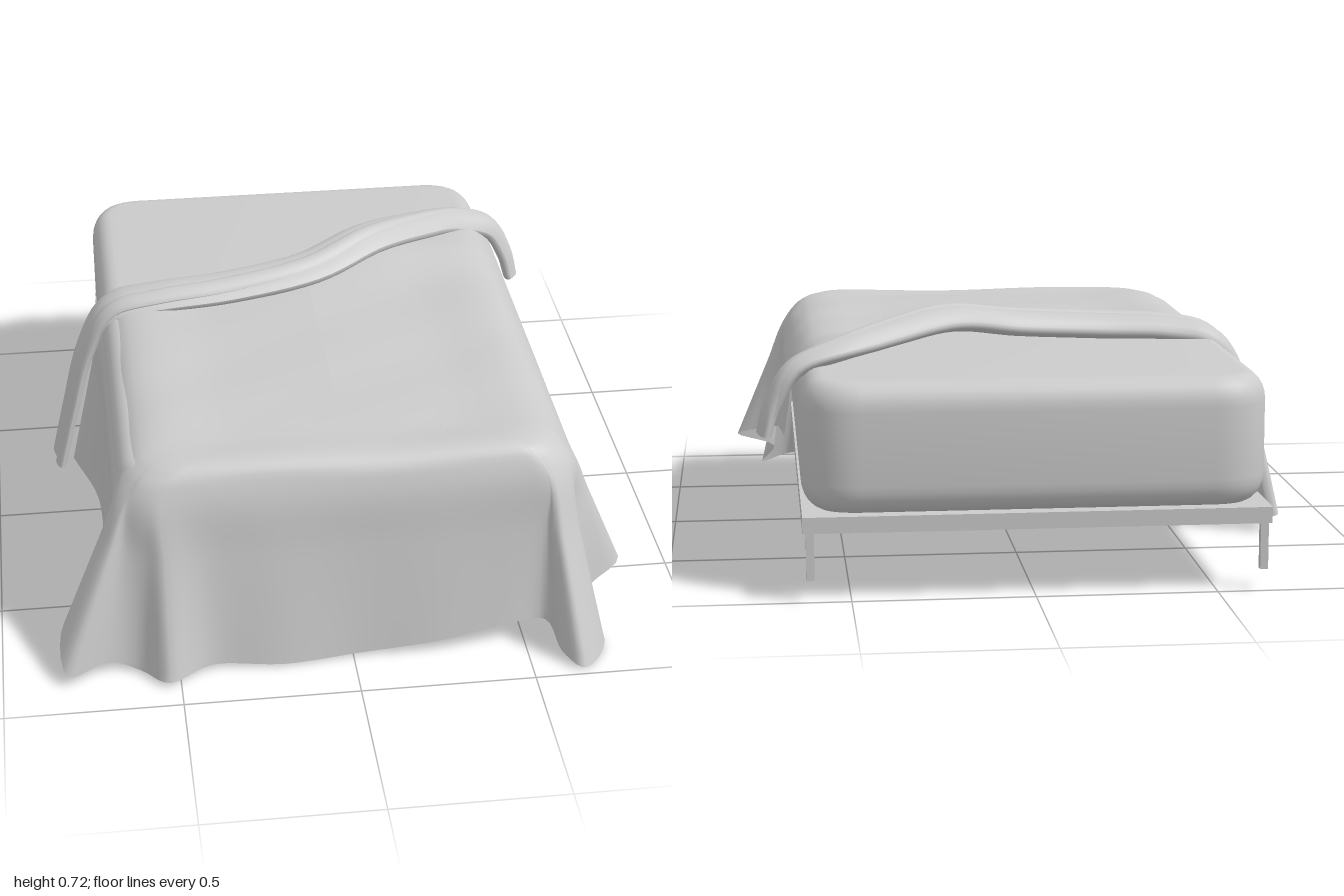
import * as THREE from 'three';
import { toCreasedNormals } from 'three/addons/utils/BufferGeometryUtils.js';

const V = (x, y, z) => new THREE.Vector3(x, y, z);
const { clamp, lerp, smoothstep } = THREE.MathUtils;
const spline = points => new THREE.CatmullRomCurve3(points.map(p => V(...p)), false, 'catmullrom', 0.5);
const grey = new THREE.MeshStandardMaterial({ color: 0xcccccc });
const cloth = new THREE.MeshStandardMaterial({ color: 0xcccccc, side: THREE.DoubleSide });

function addMesh(parent, name, geometry, material = grey) {
  const mesh = new THREE.Mesh(geometry, material);
  mesh.name = name;
  parent.add(mesh);
  return mesh;
}

// Joins equal-length rows of points into one smooth sheet
function loft(rows) {
  const n = rows[0].length;
  const index = [];
  for (let i = 0; i < rows.length - 1; i++) {
    for (let j = 0; j < n - 1; j++) {
      const a = i * n + j, b = a + n;
      index.push(a, a + 1, b, b, a + 1, b + 1);
    }
  }
  const geometry = new THREE.BufferGeometry().setFromPoints(rows.flat());
  geometry.setIndex(index);
  geometry.computeVertexNormals();
  return geometry;
}

// Rounded block with softened top and bottom rims
function mattressGeometry(w, h, d) {
  const bevel = 0.06, drop = 0.08, r = 0.1;
  const x = w / 2 - bevel, z = d / 2 - bevel;
  const s = new THREE.Shape();
  s.moveTo(-x + r, -z);
  s.lineTo(x - r, -z);
  s.quadraticCurveTo(x, -z, x, -z + r);
  s.lineTo(x, z - r);
  s.quadraticCurveTo(x, z, x - r, z);
  s.lineTo(-x + r, z);
  s.quadraticCurveTo(-x, z, -x, z - r);
  s.lineTo(-x, -z + r);
  s.quadraticCurveTo(-x, -z, -x + r, -z);
  const g = new THREE.ExtrudeGeometry(s, {
    depth: h - 2 * drop, bevelEnabled: true, bevelSize: bevel, bevelThickness: drop, bevelSegments: 6, curveSegments: 8,
  });
  g.rotateX(-Math.PI / 2);
  g.translate(0, drop, 0);
  return toCreasedNormals(g, 0.9);
}

// Where cloth hanging to a hem point bends over the rounded mattress rim
function shoulderAbove(hem) {
  const core = V(clamp(hem.x, -0.53, 0.53), 0.54, Math.min(hem.z, 0.655));
  const out = V(hem.x - core.x, 0, hem.z - core.z).setLength(0.12);
  return core.add(out);
}

// Blanket: falls of cloth from the centre line over the rim to a wandering hem
function blanketGeometry() {
  const hemLine = spline([
    // left-hand side as seen from the foot
    [-0.76, 0.03, -0.28], [-0.69, 0.05, 0], [-0.69, 0.09, 0.36], [-0.7, 0.12, 0.62],
    // first foot corner
    [-0.82, 0.13, 0.74], [-0.82, 0.05, 0.88], [-0.7, 0.05, 0.83], [-0.61, 0.02, 0.84], [-0.53, 0.03, 0.92],
    // foot
    [-0.4, 0.03, 0.85], [-0.2, 0.02, 0.86], [0.02, 0.025, 0.84], [0.25, 0.05, 0.845], [0.44, 0.08, 0.83],
    // second foot corner, with its standing fold
    [0.56, 0.08, 0.82], [0.59, 0.04, 0.92], [0.65, 0.02, 0.98], [0.73, 0.02, 0.86], [0.69, 0.1, 0.74],
    [0.81, 0.16, 0.65],
    // other side, rising to the head
    [0.68, 0.2, 0.56], [0.68, 0.25, 0.38], [0.7, 0.28, 0.22], [0.69, 0.33, -0.05], [0.68, 0.37, -0.36],
    [0.67, 0.41, -0.68],
  ]);
  const rows = [], steps = 125;
  for (let i = 0; i <= steps; i++) {
    const t = i / steps;
    const hem = hemLine.getPoint(t), rim = shoulderAbove(hem);
    const centre = V(0, 0.632, 0.42 - 0.77 * Math.abs(2 * t - 1) ** 4);
    const top = f => centre.clone().lerp(rim, f).setY(0.63 - 0.012 * f);
    const side = f => rim.clone().lerp(hem, f);
    const fall = new THREE.CatmullRomCurve3([centre, top(0.5), top(0.88), rim, side(0.33), side(0.68), hem]);
    rows.push(fall.getPoints(36).map(p => {
      // Soft wrinkles, and a lift where the cloth is turned back
      if (p.y > 0.59) {
        p.y += 0.003 * Math.sin(9 * p.x + 5 * p.z) * Math.sin(11 * p.z);
        p.y += 0.04 * Math.exp(-((p.x - 0.27) ** 2) / 0.05 - ((p.z + 0.42) ** 2) / 0.015);
      }
      return p;
    }));
  }
  return loft(rows);
}

// Line of the turned-back edge, hanging down at both ends
const turnLine = spline([
  [-0.8, 0.06, -0.21], [-0.755, 0.25, -0.205], [-0.7, 0.46, -0.2], [-0.62, 0.605, -0.2], [-0.48, 0.645, -0.2],
  [-0.25, 0.66, -0.225], [0, 0.68, -0.29], [0.2, 0.71, -0.41], [0.38, 0.685, -0.535], [0.52, 0.65, -0.63],
  [0.64, 0.6, -0.675], [0.7, 0.5, -0.685], [0.725, 0.41, -0.685],
]);

// Flattened, lobed roll along the turned-back edge; place(t) gives its width, height and offset
function rollGeometry(place, lobes) {
  const rows = [], steps = 72, sides = 24;
  for (let i = 0; i <= steps; i++) {
    const t = i / steps, { width, height, dy, dz } = place(t);
    const p = turnLine.getPoint(t);
    const tangent = turnLine.getTangent(t);
    const lean = 0.97 * Math.sign(p.x) * smoothstep(Math.abs(p.x), 0.42, 0.71);
    const up = V(lean, Math.sqrt(1 - lean * lean), 0);
    const across = tangent.clone().cross(up).normalize();
    up.crossVectors(across, tangent);
    p.add(V(0, dy, dz));
    const row = [];
    for (let j = 0; j <= sides; j++) {
      const a = -j / sides * Math.PI * 2;
      const r = 1 + lobes * Math.cos(3 * a + 2 * t);
      row.push(p.clone().addScaledVector(across, Math.cos(a) * r * width).addScaledVector(up, Math.sin(a) * r * height));
    }
    rows.push(row);
  }
  return loft(rows);
}

export function createModel() {
  const bed = new THREE.Group();
  bed.name = 'bed';

  // Slab base on four thin legs
  addMesh(bed, 'bedBase', new THREE.BoxGeometry(1.28, 0.045, 1.75)).position.set(-0.01, 0.2225, -0.115);
  for (const x of [-0.63, 0.61]) {
    for (const z of [-0.975, 0.74]) {
      addMesh(bed, 'leg', new THREE.BoxGeometry(0.022, 0.13, 0.022)).position.set(x, 0.135, z);
    }
  }

  addMesh(bed, 'mattress', mattressGeometry(1.28, 0.36, 1.75)).position.set(-0.01, 0.245, -0.125);
  addMesh(bed, 'blanket', blanketGeometry(), cloth);

  // Turned-back cloth: a broad fold behind a narrow rolled edge
  addMesh(bed, 'blanketFold', rollGeometry(t => ({
    width: 0.05 + 0.03 * smoothstep(t, 0, 0.3) - 0.035 * smoothstep(t, 0.5, 1),
    height: 0.022 + 0.014 * Math.sin(Math.PI * t),
    dy: -0.018 * Math.sin(Math.PI * t),
    dz: lerp(-0.07, 0.03, t),
  }), 0.1), cloth);
  addMesh(bed, 'blanketRolledEdge', rollGeometry(t => ({
    width: 0.028 + 0.006 * Math.sin(Math.PI * t),
    height: 0.017 + 0.008 * Math.sin(Math.PI * t),
    dy: 0,
    dz: 0,
  }), 0.08), cloth);

  return bed;
}
